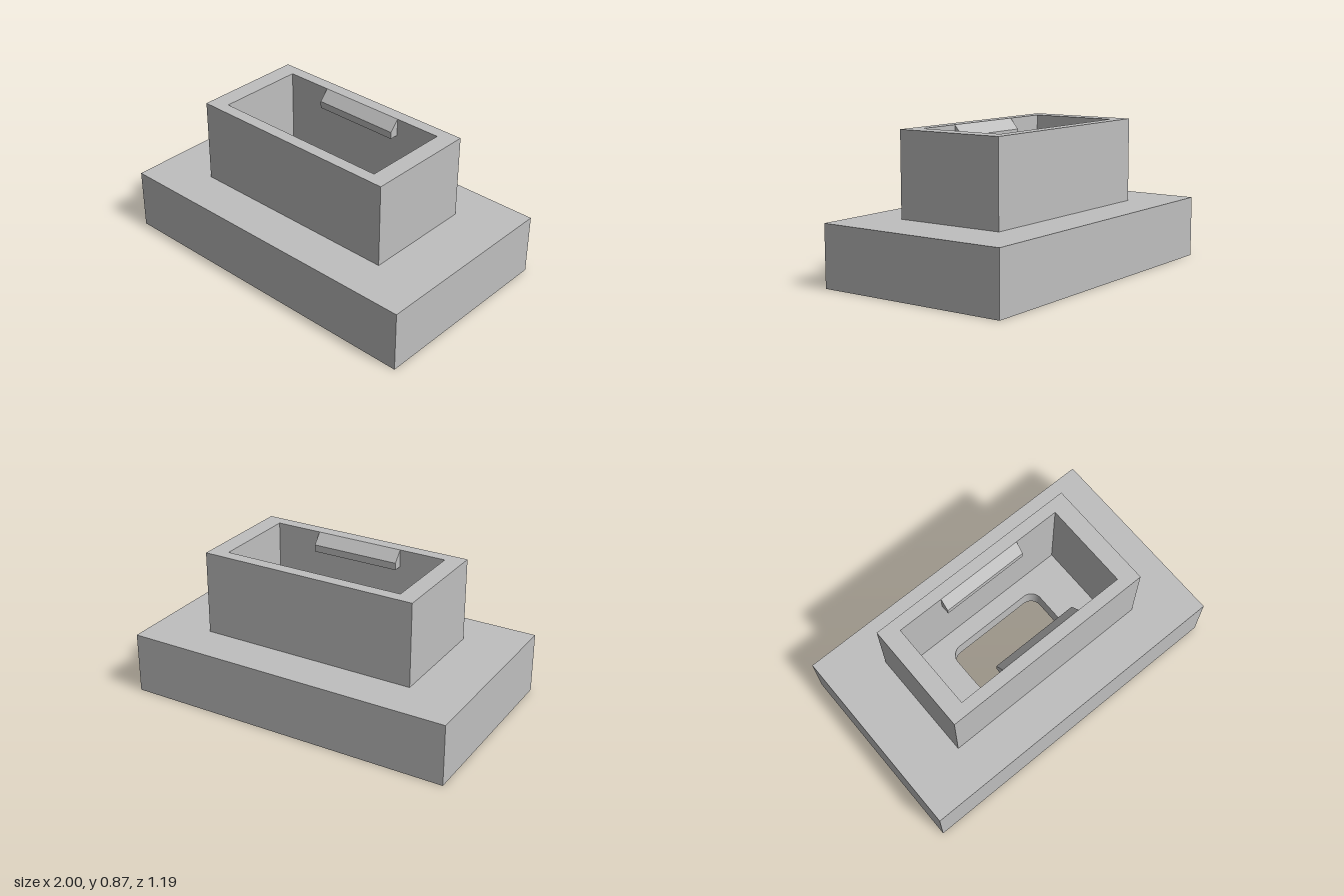
import * as THREE from 'three';
import { toCreasedNormals } from 'three/addons/utils/BufferGeometryUtils.js';

// Counter-clockwise rectangle (half sizes a, b) with optional corner radius r
function outline(a, b, r = 0) {
  const pts = [];
  const n = r > 0 ? 10 : 0;
  [[1, 1], [-1, 1], [-1, -1], [1, -1]].forEach(([sx, sy], k) => {
    for (let i = 0; i <= n; i++) {
      const t = (k + (n ? i / n : 0)) * Math.PI / 2;
      pts.push(new THREE.Vector2(sx * (a - r) + r * Math.cos(t), sy * (b - r) + r * Math.sin(t)));
    }
  });
  return pts;
}

// Vertical wall along an outline, facing outwards or into the opening
function wall(pts, y0, y1, inward = false) {
  const loop = inward ? [...pts].reverse() : pts;
  const pos = [];
  loop.forEach((p, i) => {
    const q = loop[(i + 1) % loop.length];
    pos.push(p.x, y0, -p.y, q.x, y0, -q.y, q.x, y1, -q.y);
    pos.push(p.x, y0, -p.y, q.x, y1, -q.y, p.x, y1, -p.y);
  });
  const g = new THREE.BufferGeometry();
  g.setAttribute('position', new THREE.Float32BufferAttribute(pos, 3));
  return toCreasedNormals(g, 0.5);
}

// Flat horizontal face with a hole
function ring(outer, hole, y, up = true) {
  const shape = new THREE.Shape(outer);
  shape.holes.push(new THREE.Path(hole));
  return new THREE.ShapeGeometry(shape).rotateX(up ? -Math.PI / 2 : Math.PI / 2).translate(0, y, 0);
}

export function createModel() {
  const model = new THREE.Group();
  model.name = 'flangedSocket';
  const grey = new THREE.MeshStandardMaterial({ color: 0xbfbfbf });
  grey.name = 'grey';
  const add = (name, geometry) => {
    const mesh = new THREE.Mesh(geometry, grey);
    mesh.name = name;
    model.add(mesh);
    return mesh;
  };

  const base = outline(1, 0.593);
  const tower = outline(0.66, 0.336);
  const cavity = outline(0.553, 0.265);
  const slot = outline(0.318, 0.165, 0.07);
  const recess = outline(0.5, 0.297, 0.17);
  const yRecess = 0.15, yFloor = 0.27, yBase = 0.365, yTop = 0.865;

  // Base plate
  add('baseSides', wall(base, 0, yBase));
  add('baseTop', ring(base, tower, yBase));
  add('baseUnderside', ring(base, recess, 0, false));

  // Rounded recess under the base, stepping in to the through slot
  add('recessWall', wall(recess, 0, yRecess, true));
  add('recessCeiling', ring(recess, slot, yRecess, false));
  add('slotWall', wall(slot, yRecess, yFloor, true));

  // Hollow tower
  add('towerSides', wall(tower, yBase, yTop));
  add('towerRim', ring(tower, cavity, yTop));
  add('cavityWalls', wall(cavity, yFloor, yTop, true));
  add('cavityFloor', ring(cavity, slot, yFloor));

  // Snap ledges with a sloped top, one on each long inner wall
  const profile = new THREE.Shape([
    new THREE.Vector2(0.265, 0.76), new THREE.Vector2(0.265, yTop),
    new THREE.Vector2(0.21, 0.802), new THREE.Vector2(0.21, 0.76),
  ]);
  const ledge = new THREE.ExtrudeGeometry(profile, { depth: 0.54, bevelEnabled: false })
    .translate(0, 0, -0.27).rotateY(-Math.PI / 2);
  add('frontLedge', ledge);
  add('backLedge', ledge).rotation.y = Math.PI;

  return model;
}
